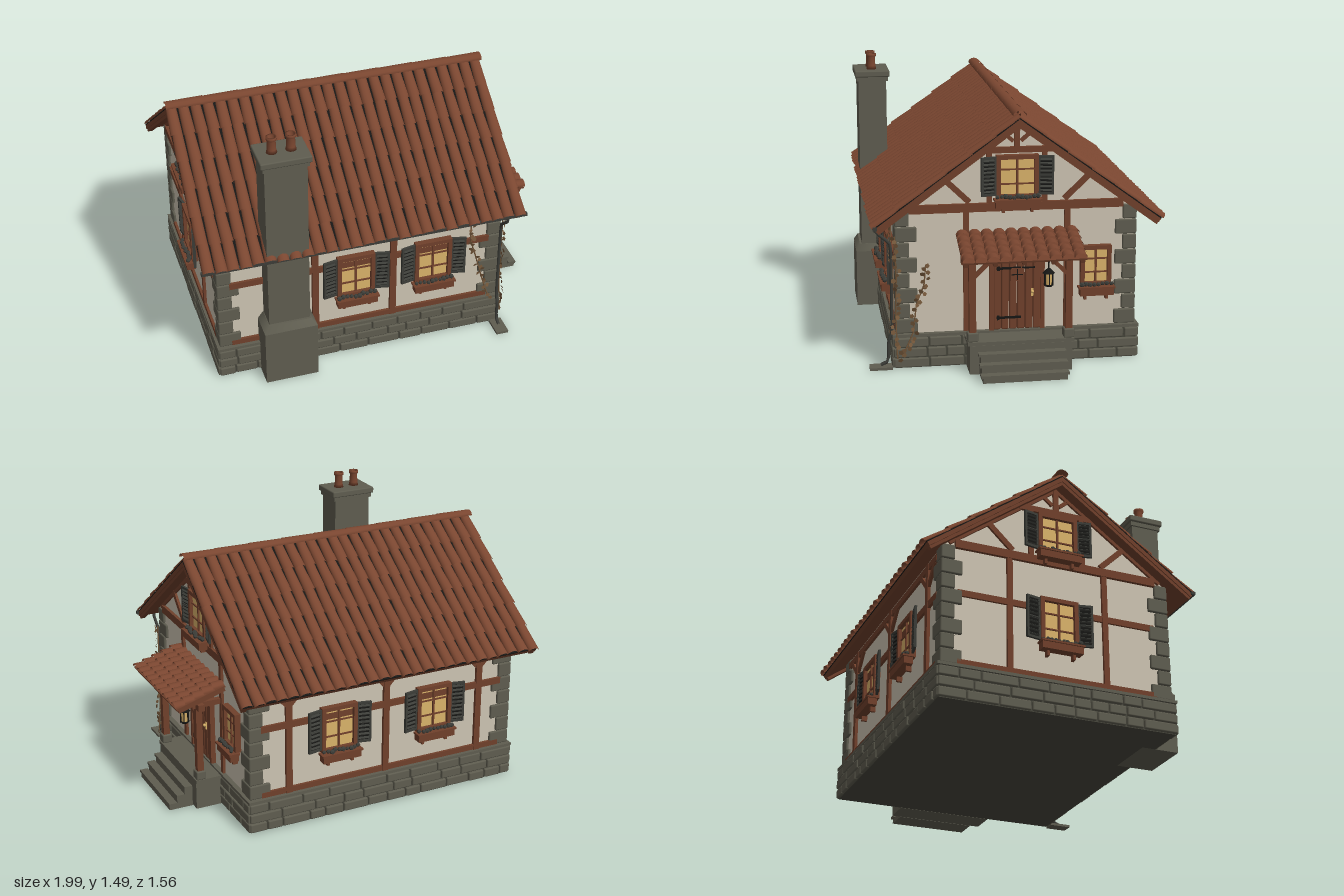
import * as THREE from 'three';
import { mergeGeometries } from 'three/addons/utils/BufferGeometryUtils.js';
import { RoundedBoxGeometry } from 'three/addons/geometries/RoundedBoxGeometry.js';

const mat = (name, color, side = THREE.FrontSide) => {
  const m = new THREE.MeshStandardMaterial({ color, side });
  m.name = name;
  return m;
};
const M = {
  plaster: mat('plaster', 0xcdc4b2),
  wood: mat('timber', 0x70402b),
  tile: mat('terracotta', 0x7a4630, THREE.DoubleSide),
  stone: mat('stone', 0x5f5d50),
  mortar: mat('dark stone', 0x47463c),
  iron: mat('black iron', 0x161614),
  shutter: mat('shutter grey', 0x3c3d38),
  glow: mat('lit glass', 0xdab36a),
  ivy: mat('dry ivy', 0x74573a, THREE.DoubleSide),
};

let seed = 7;
const rnd = () => (seed = (seed * 16807) % 2147483647) / 2147483647;

// Helpers: a placed box, a rounded stone, a bar between two points, a merged mesh
const box = (w, h, d, x, y, z) => new THREE.BoxGeometry(w, h, d).translate(x, y, z);
const block = (w, h, d, x, y, z) => new RoundedBoxGeometry(w, h, d, 1, 0.007).translate(x, y, z);
const bar = (x0, y0, x1, y1, w, d, z) =>
  new THREE.BoxGeometry(Math.hypot(x1 - x0, y1 - y0), w, d)
    .rotateZ(Math.atan2(y1 - y0, x1 - x0)).translate((x0 + x1) / 2, (y0 + y1) / 2, z);
function add(parent, name, material, geos) {
  const list = [].concat(geos).map(g => (g.index ? g.toNonIndexed() : g));
  const mesh = new THREE.Mesh(mergeGeometries(list), material);
  mesh.name = name;
  parent.add(mesh);
  return mesh;
}
function tube(points, r) {
  const curve = new THREE.CatmullRomCurve3(points.map(p => new THREE.Vector3(...p)), false, 'catmullrom', 0.1);
  return new THREE.TubeGeometry(curve, 24, r, 6);
}
// Half-round tile running down towards +z, dome up
const tile = (r0, r1, len) => new THREE.CylinderGeometry(r0, r1, len, 6, 1, true, -Math.PI / 2, Math.PI)
  .rotateX(-Math.PI / 2).scale(1, 0.75, 1);

const CX = -0.1, HX = 0.785, HZ = 0.625;          // wall centre and half sizes
const PITCH = Math.atan2(0.55, 0.75), SLOPE = 0.75 / Math.cos(PITCH);

// Window facing +z with flower box and optional shutters
function windowUnit(w, h, shutters) {
  const g = new THREE.Group();
  g.name = 'window';
  const t = 0.022;
  add(g, 'windowFrame', M.wood, [
    box(w, t, 0.04, 0, h / 2 - t / 2, 0.012), box(w, t, 0.04, 0, -h / 2 + t / 2, 0.012),
    box(t, h, 0.04, -w / 2 + t / 2, 0, 0.012), box(t, h, 0.04, w / 2 - t / 2, 0, 0.012),
    box(0.011, h, 0.014, 0, 0, 0.014),
    ...[-1, 1].map(s => box(w, 0.008, 0.012, 0, s * h / 6, 0.013)),
  ]);
  add(g, 'windowGlass', M.glow, box(w - t, h - t, 0.008, 0, 0, 0.008));
  // Flower box
  const by = -h / 2 - 0.022, bw = w + 0.015;
  add(g, 'flowerBox', M.wood, [box(bw, 0.045, 0.05, 0, by, 0.04), box(bw + 0.015, 0.01, 0.06, 0, by + 0.02, 0.042),
    ...[-1, 1].map(s => box(0.014, 0.03, 0.03, s * bw * 0.32, by - 0.035, 0.025))]);
  const n = Math.round(bw / 0.022);
  add(g, 'boxPlants', M.shutter, Array.from({ length: n }, (_, i) =>
    new THREE.IcosahedronGeometry(0.011 + rnd() * 0.005, 0)
      .translate((i + 0.5 - n / 2) * bw / n, by + 0.032 + rnd() * 0.008, 0.04 + rnd() * 0.015)));
  // Louvred shutters, slightly ajar
  if (shutters) for (const s of [-1, 1]) {
    const sh = new THREE.Group();
    sh.name = 'shutter';
    const sw = 0.082, hh = h - 0.025;
    add(sh, 'shutterFrame', M.shutter, [box(0.012, hh, 0.014, 0.006, 0, 0), box(0.012, hh, 0.014, sw - 0.006, 0, 0),
      ...[-1, 0, 1].map(k => box(sw, 0.013, 0.014, sw / 2, k * (hh / 2 - 0.006), 0)),
      ...Array.from({ length: 9 }, (_, i) =>
        new THREE.BoxGeometry(sw - 0.02, 0.008, 0.014).rotateX(0.6).translate(sw / 2, (i - 4) * hh / 10, 0.002))]);
    add(sh, 'shutterBack', M.iron, box(sw - 0.006, hh - 0.006, 0.005, sw / 2, 0, -0.003));
    sh.position.set(s * w / 2, 0.005, 0.016);
    sh.rotation.y = s > 0 ? -0.2 : Math.PI + 0.2;
    if (s < 0) sh.children.forEach(c => { c.rotation.y = Math.PI; c.position.x = sw; });
    g.add(sh);
  }
  return g;
}

function wallGroup(root, name, x, z, angle) {
  const g = new THREE.Group();
  g.name = name;
  g.position.set(x, 0, z);
  g.rotation.y = angle;
  root.add(g);
  return g;
}
function putWindow(wall, x, y, w, h, shutters) {
  const u = windowUnit(w, h, shutters);
  u.position.set(x, y, 0.002);
  wall.add(u);
}

// Long wall framing: rails, posts and small knee braces
function longWall(wall, posts, wins) {
  const g = [box(1.46, 0.036, 0.03, 0, 0.583, 0), box(1.46, 0.03, 0.03, 0, 0.203, 0), box(1.46, 0.035, 0.03, 0, 0.8, 0)];
  for (const p of posts) {
    g.push(box(0.036, 0.64, 0.034, p, 0.5, 0));
    for (const s of [-1, 1]) g.push(bar(p, 0.685, p + s * 0.1, 0.79, 0.026, 0.028, 0));
  }
  add(wall, 'timberFrame', M.wood, g);
  wins.forEach(x => putWindow(wall, x, 0.51, 0.21, 0.26, true));
}
// Gable wall framing
function gableWall(wall) {
  const g = [box(1.13, 0.045, 0.036, 0, 0.855, 0), box(0.42, 0.032, 0.03, 0, 1.155, 0), box(0.03, 0.17, 0.03, 0, 1.25, 0)];
  for (const s of [-1, 1]) {
    g.push(box(0.03, 0.66, 0.03, s * 0.267, 0.51, 0), box(0.028, 0.28, 0.03, s * 0.145, 1.01, 0),
      bar(s * 0.25, 0.885, s * 0.4, 1.03, 0.03, 0.028, 0), bar(s * 0.02, 1.2, s * 0.09, 1.26, 0.02, 0.024, 0),
      bar(s * 0.6, 0.86, 0, 1.3, 0.03, 0.026, 0));
  }
  add(wall, 'timberFrame', M.wood, g);
  putWindow(wall, 0, 1.015, 0.22, 0.23, true);
}

function stoneBase(root) {
  add(root, 'plinthCore', M.mortar, box(1.6, 0.17, 1.29, CX, 0.085, 0));
  add(root, 'plinthLedge', M.stone, box(1.625, 0.016, 1.315, CX, 0.178, 0));
  const stones = [];
  for (let side = 0; side < 4; side++) {
    const half = side % 2 ? 0.655 : 0.81, out = side % 2 ? 0.8 : 0.645;
    for (let row = 0; row < 3; row++) for (let u = -half; u < half - 0.01;) {
      let w = 0.09 + rnd() * 0.11;
      if (u + w > half - 0.06) w = half - u;
      stones.push(block(w - 0.007, 0.05, 0.03, u + w / 2, 0.029 + row * 0.056, out - 0.003 + rnd() * 0.005)
        .rotateY(side * Math.PI / 2).translate(CX, 0, 0));
      u += w;
    }
  }
  add(root, 'plinthStones', M.stone, stones);
  // Alternating corner stones
  const q = [];
  for (const sx of [-1, 1]) for (const sz of [-1, 1]) for (let i = 0; i < 8; i++) {
    const a = i % 2 ? 0.08 : 0.12, b = i % 2 ? 0.075 : 0.115;
    q.push(block(a, 0.079, b, CX + sx * (HX + 0.014 - a / 2), 0.228 + i * 0.0825, sz * (HZ + 0.014 - b / 2)));
  }
  add(root, 'cornerStones', M.stone, q);
}

function roof(root) {
  const slabs = [], felt = [], tiles = [], barge = [], cols = 27, rows = 6, step = SLOPE / rows;
  for (const turn of [0, Math.PI]) {
    const place = (g, d, lift, x = 0) => g.rotateX(PITCH)
      .translate(x, 1.335 - d * Math.sin(PITCH) + lift * Math.cos(PITCH), d * Math.cos(PITCH) + lift * Math.sin(PITCH))
      .rotateY(turn).translate(CX, 0, 0);
    slabs.push(place(new THREE.BoxGeometry(1.77, 0.022, SLOPE), SLOPE / 2, -0.015));
    felt.push(place(new THREE.BoxGeometry(1.77, 0.006, SLOPE), SLOPE / 2, -0.001));
    for (const s of [-1, 1]) barge.push(place(new THREE.BoxGeometry(0.028, 0.04, SLOPE), SLOPE / 2, -0.022, s * 0.865));
    for (let c = 0; c < cols; c++) for (let r = 0; r < rows; r++)
      tiles.push(place(tile(0.028, 0.0325, step * 1.1).rotateX(-0.03).rotateY((rnd() - 0.5) * 0.05),
        (r + 0.5) * step + (rnd() - 0.5) * 0.012, 0.002, (c + 0.5 - cols / 2) * 0.0659 + (rnd() - 0.5) * 0.004));
  }
  add(root, 'roofBoards', M.wood, slabs);
  add(root, 'roofFelt', M.iron, felt);
  add(root, 'bargeBoards', M.wood, barge);
  add(root, 'roofTiles', M.tile, tiles);
  add(root, 'ridgeTiles', M.tile, Array.from({ length: 9 }, (_, i) =>
    tile(0.033, 0.036, 0.205).rotateY(Math.PI / 2).translate(CX + (i - 4) * 0.1965, 1.348, 0)));
  // Front gutter and downpipe
  add(root, 'gutter', M.shutter, box(1.79, 0.018, 0.022, CX, 0.785, 0.745));
  add(root, 'downpipe', M.shutter, tube([[0.69, 0.78, 0.745], [0.69, 0.74, 0.735], [0.69, 0.67, 0.66],
    [0.69, 0.2, 0.66], [0.69, 0.15, 0.68], [0.69, 0.04, 0.68], [0.69, 0.02, 0.72]], 0.009));
  add(root, 'splashStone', M.stone, box(0.07, 0.014, 0.12, 0.69, 0.007, 0.72));
}

function chimney(root) {
  const x = -0.535;
  const shoulder = new THREE.CylinderGeometry(0.115 * Math.SQRT2, 0.145 * Math.SQRT2, 0.04, 4, 1).rotateY(Math.PI / 4)
    .scale(1, 1, 0.72).translate(x, 0.35, 0.675);
  add(root, 'chimneyStack', M.stone, [box(0.29, 0.33, 0.21, x, 0.165, 0.675), shoulder,
    box(0.225, 1.03, 0.16, x, 0.85, 0.665), box(0.245, 0.025, 0.18, x, 1.352, 0.665), block(0.27, 0.036, 0.2, x, 1.382, 0.665)]);
  const pot = [[0, 0], [0.029, 0], [0.024, 0.02], [0.022, 0.07], [0.028, 0.075], [0.028, 0.09], [0.019, 0.09], [0.018, 0.05], [0, 0.05]];
  add(root, 'chimneyPots', M.tile, [-1, 1].map(s =>
    new THREE.LatheGeometry(pot.map(p => new THREE.Vector2(...p)), 14).translate(x + s * 0.05, 1.4, 0.665)));
}

function porch(root) {
  add(root, 'landing', M.stone, [box(0.15, 0.155, 0.54, 0.78, 0.078, 0), box(0.16, 0.018, 0.56, 0.777, 0.166, 0)]);
  add(root, 'steps', M.stone, [0, 1, 2].flatMap(i => {
    const h = 0.125 - i * 0.042, x = 0.885 + i * 0.045;
    return [box(0.045, h - 0.012, 0.44, x - 0.004, (h - 0.012) / 2, 0), box(0.045, 0.014, 0.46, x, h - 0.007, 0)];
  }));
  const wood = [box(0.036, 0.036, 0.62, 0.825, 0.612, 0)];
  for (const s of [-1, 1]) {
    const z = s * 0.253;
    wood.push(box(0.036, 0.43, 0.036, 0.825, 0.39, z), box(0.2, 0.03, 0.03, 0.76, 0.613, z),
      bar(-z + s * 0.01, 0.52, -z + s * 0.09, 0.6, 0.02, 0.02, 0).rotateY(Math.PI / 2).translate(0.825, 0, 0));
  }
  for (let i = -2; i <= 2; i++) wood.push(bar(0.69, 0.7, 0.955, 0.62, 0.024, 0.022, i * 0.15));
  wood.push(bar(0.69, 0.718, 0.97, 0.634, 0.01, 0.64, 0));
  add(root, 'porchFrame', M.wood, wood);
  add(root, 'postFeet', M.stone, [-1, 1].map(s => block(0.056, 0.05, 0.056, 0.825, 0.2, s * 0.253)));
  const tiles = [];
  for (let c = 0; c < 10; c++) for (let r = 0; r < 5; r++)
    tiles.push(tile(0.029, 0.034, 0.066).rotateX(0.1).rotateY(Math.PI / 2 + (rnd() - 0.5) * 0.06)
      .translate(0.727 + r * 0.054, 0.717 - r * 0.0175, (c - 4.5) * 0.064));
  add(root, 'porchTiles', M.tile, tiles);
  // Hanging lantern
  const at = (g, y) => g.translate(0.858, y, -0.14);
  add(root, 'lanternIron', M.iron, [at(new THREE.CylinderGeometry(0.008, 0.034, 0.025, 6), 0.548),
    at(new THREE.CylinderGeometry(0.026, 0.02, 0.01, 6), 0.47), at(new THREE.CylinderGeometry(0.004, 0.004, 0.05, 5), 0.58),
    ...Array.from({ length: 6 }, (_, i) => at(box(0.005, 0.07, 0.005, 0.023, 0, 0).rotateY(i * Math.PI / 3), 0.505)),
    box(0.06, 0.008, 0.008, 0.84, 0.6, -0.14)]);
  add(root, 'lanternGlow', M.glow, at(new THREE.CylinderGeometry(0.02, 0.016, 0.065, 6), 0.505));
}

// Plank door, in wall space facing +z
function door(wall) {
  const planks = Array.from({ length: 6 }, (_, i) => block(0.04, 0.4, 0.022, (i - 2.5) * 0.042, 0.388, 0.012));
  add(wall, 'doorPlanks', M.wood, [...planks, box(0.28, 0.025, 0.035, 0, 0.598, 0.01),
    ...[-1, 1].map(s => box(0.022, 0.42, 0.035, s * 0.135, 0.39, 0.01))]);
  add(wall, 'doorHinges', M.iron, [0.255, 0.525].flatMap(y => [box(0.13, 0.012, 0.006, -0.045, y, 0.026),
    box(0.014, 0.024, 0.008, -0.1, y, 0.026)]).concat(box(0.07, 0.008, 0.006, 0.06, 0.525, 0.026)));
  add(wall, 'doorGrille', M.wood, [box(0.068, 0.07, 0.012, 0, 0.49, 0.024)]);
  add(wall, 'grilleBars', M.iron, [box(0.005, 0.06, 0.004, 0, 0.49, 0.031), box(0.06, 0.005, 0.004, 0, 0.49, 0.031)]);
  add(wall, 'doorHandle', M.glow, [box(0.012, 0.042, 0.006, 0.08, 0.39, 0.026), new THREE.SphereGeometry(0.009, 8, 6).translate(0.08, 0.395, 0.035)]);
}

// Climbing vine with scattered leaves, in wall space
function vine(wall, pts) {
  const path = pts.map(p => [p[0], p[1], p[2] ?? 0.016]);
  const curve = new THREE.CatmullRomCurve3(path.map(p => new THREE.Vector3(...p)));
  const parts = [tube(path, 0.004)];
  for (let i = 0; i < 26; i++) {
    const p = curve.getPoint(i / 25);
    parts.push(new THREE.CircleGeometry(0.011 + rnd() * 0.004, 5).rotateX(rnd() - 0.5).rotateY(rnd() - 0.5)
      .translate(p.x + (rnd() - 0.5) * 0.04, p.y + (rnd() - 0.5) * 0.02, p.z + 0.006 + rnd() * 0.01));
  }
  add(wall, 'ivy', M.ivy, parts);
}

export function createModel() {
  seed = 7;
  const model = new THREE.Group(), root = new THREE.Group();
  model.name = 'cottage';
  root.name = 'house';
  root.position.z = -0.01;
  model.add(root);

  // Plastered body with gables
  const s = new THREE.Shape([[-HZ, 0.17], [HZ, 0.17], [HZ, 0.845], [0, 1.302], [-HZ, 0.845]].map(p => new THREE.Vector2(...p)));
  add(root, 'plasterWalls', M.plaster, new THREE.ExtrudeGeometry(s, { depth: HX * 2, bevelEnabled: false })
    .translate(0, 0, -HX).rotateY(Math.PI / 2).translate(CX, 0, 0));
  stoneBase(root);
  roof(root);
  chimney(root);
  porch(root);

  const front = wallGroup(root, 'frontWall', CX, HZ, 0);
  const back = wallGroup(root, 'backWall', CX, -HZ, Math.PI);
  const right = wallGroup(root, 'entranceWall', CX + HX, 0, Math.PI / 2);
  const left = wallGroup(root, 'endWall', CX - HX, 0, -Math.PI / 2);
  longWall(front, [-0.26, 0.18], [-0.035, 0.405]);
  longWall(back, [-0.57, 0.01, 0.59], [-0.28, 0.3]);
  gableWall(right);
  gableWall(left);
  putWindow(left, 0, 0.51, 0.21, 0.26, true);
  add(left, 'lowerRail', M.wood, [box(1.1, 0.03, 0.028, 0, 0.203, 0), box(1.1, 0.034, 0.028, 0, 0.583, -0.002)]);
  putWindow(right, 0.42, 0.52, 0.165, 0.22, false);
  door(right);
  vine(right, [[-0.6, 0.09, 0.04], [-0.55, 0.2, 0.03], [-0.53, 0.35], [-0.49, 0.45], [-0.48, 0.56]]);
  vine(right, [[-0.635, 0.06, 0.04], [-0.64, 0.3, 0.022], [-0.635, 0.5, 0.022], [-0.64, 0.72, 0.022]]);
  vine(front, [[0.74, 0.19, 0.03], [0.7, 0.32, 0.022], [0.66, 0.47], [0.62, 0.6, 0.022], [0.62, 0.74, 0.022]]);
  return model;
}
